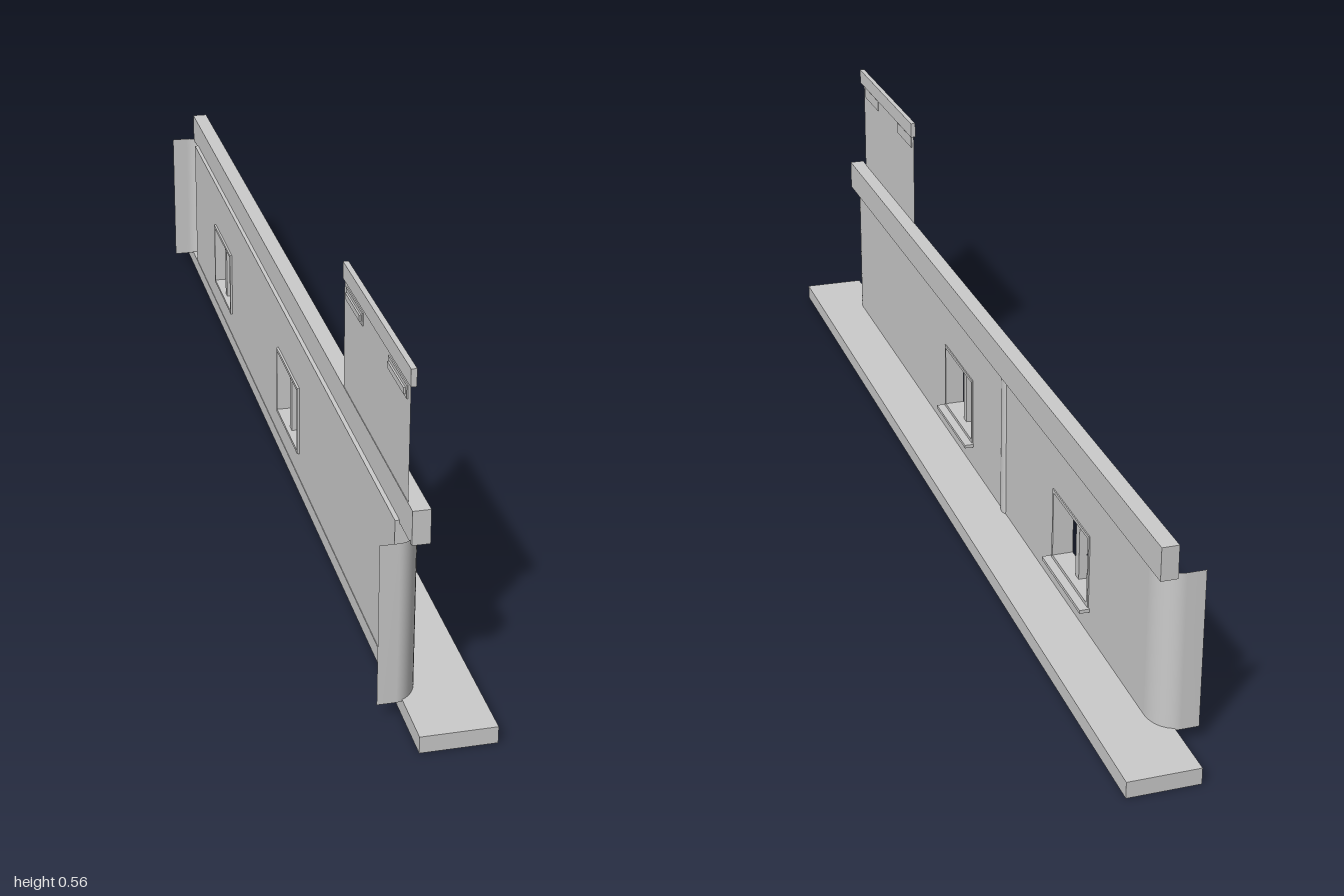
import * as THREE from 'three';

const grey = new THREE.MeshStandardMaterial({ color: 0xcccccc });
const thin = new THREE.MeshStandardMaterial({ color: 0xcccccc, side: THREE.DoubleSide });

export function createModel() {
  const group = new THREE.Group();

  function add(name, geometry, material = grey) {
    const mesh = new THREE.Mesh(geometry, material);
    mesh.name = name;
    group.add(mesh);
    return mesh;
  }

  // Box given by its limits on each axis
  function box(name, x0, x1, y0, y1, z0, z1) {
    const g = new THREE.BoxGeometry(x1 - x0, y1 - y0, z1 - z0);
    g.translate((x0 + x1) / 2, (y0 + y1) / 2, (z0 + z1) / 2);
    return add(name, g);
  }

  // Thin upright sheet following a plan path of [x, z] points
  function sheet(name, path, y0, y1) {
    const n = path.length;
    const g = new THREE.PlaneGeometry(1, 1, n - 1, 1);
    const p = g.attributes.position;
    for (let i = 0; i < p.count; i++) {
      const [x, z] = path[i % n];
      p.setXYZ(i, x, i < n ? y1 : y0, z);
    }
    g.computeVertexNormals();
    return add(name, g, thin);
  }

  // Pavement strip
  box('pavement', -0.041, 0.078, 0, 0.028, -1, 1);

  // Long wall with two window openings, drawn in (z, y) and extruded inward
  const windows = [[0.025, 0.2], [-0.6, -0.425]];
  const sillY = 0.076, headY = 0.205;
  const wall = new THREE.Shape([[-0.845, 0.025], [0.84, 0.025], [0.84, 0.295], [-0.845, 0.295]]
    .map(([a, b]) => new THREE.Vector2(a, b)));
  for (const [a, b] of windows) {
    wall.holes.push(new THREE.Path([[a, sillY], [a, headY], [b, headY], [b, sillY]]
      .map(([u, v]) => new THREE.Vector2(u, v))));
  }
  const wallGeometry = new THREE.ExtrudeGeometry(wall, { depth: 0.03, bevelEnabled: false });
  wallGeometry.rotateY(-Math.PI / 2);
  wallGeometry.translate(-0.01, 0, 0);
  add('wall', wallGeometry);

  // Window frames, mullions and sills
  for (const [a, b] of windows) {
    const t = 0.006, x0 = -0.044, x1 = -0.008, mid = (a + b) / 2;
    box('windowFrameSide', x0, x1, sillY, headY, a, a + t);
    box('windowFrameSide', x0, x1, sillY, headY, b - t, b);
    box('windowFrameTop', x0, x1, headY - t, headY, a + t, b - t);
    box('windowFrameBottom', x0, x1, sillY, sillY + t, a + t, b - t);
    box('windowMullion', -0.036, -0.022, sillY + t, headY - t, mid - 0.008, mid + 0.008);
    box('windowSill', -0.012, 0.007, 0.07, sillY, a - 0.005, b + 0.005);
  }

  // Rounded wall corners returning inward at both ends
  for (const [zStart, zEnd] of [[0.84, 0.905], [-0.845, -0.895]]) {
    const path = [[-0.08, zEnd]];
    for (let i = 0; i <= 12; i++) {
      const t = (i / 12) * Math.PI / 2;
      path.push([-0.05 + 0.04 * Math.sin(t), zStart + (zEnd - zStart) * Math.cos(t)]);
    }
    sheet('roundedCorner', path, 0.025, 0.295);
  }

  // Shallow rounded rib on the wall face
  const rib = [];
  for (let i = 0; i <= 8; i++) {
    const t = (i / 8) * Math.PI;
    rib.push([-0.011 + 0.005 * Math.sin(t), -0.16 + 0.014 * Math.cos(t)]);
  }
  sheet('wallRib', rib, 0.025, 0.295);

  // Fascia along the top
  box('fascia', -0.033, -0.005, 0.29, 0.346, -0.9, 0.907);

  // Raised panel with its cap and small brackets
  sheet('raisedPanel', [[-0.032, 0.88], [-0.032, 0.49]], 0.34, 0.535);
  box('panelCap', -0.034, -0.025, 0.531, 0.559, 0.485, 0.885);
  for (const z of [0.813, 0.557]) {
    box('bracketPlate', -0.034, -0.0305, 0.503, 0.524, z - 0.052, z + 0.052);
    box('bracketBar', -0.037, -0.034, 0.508, 0.518, z - 0.045, z + 0.045);
  }

  return group;
}
